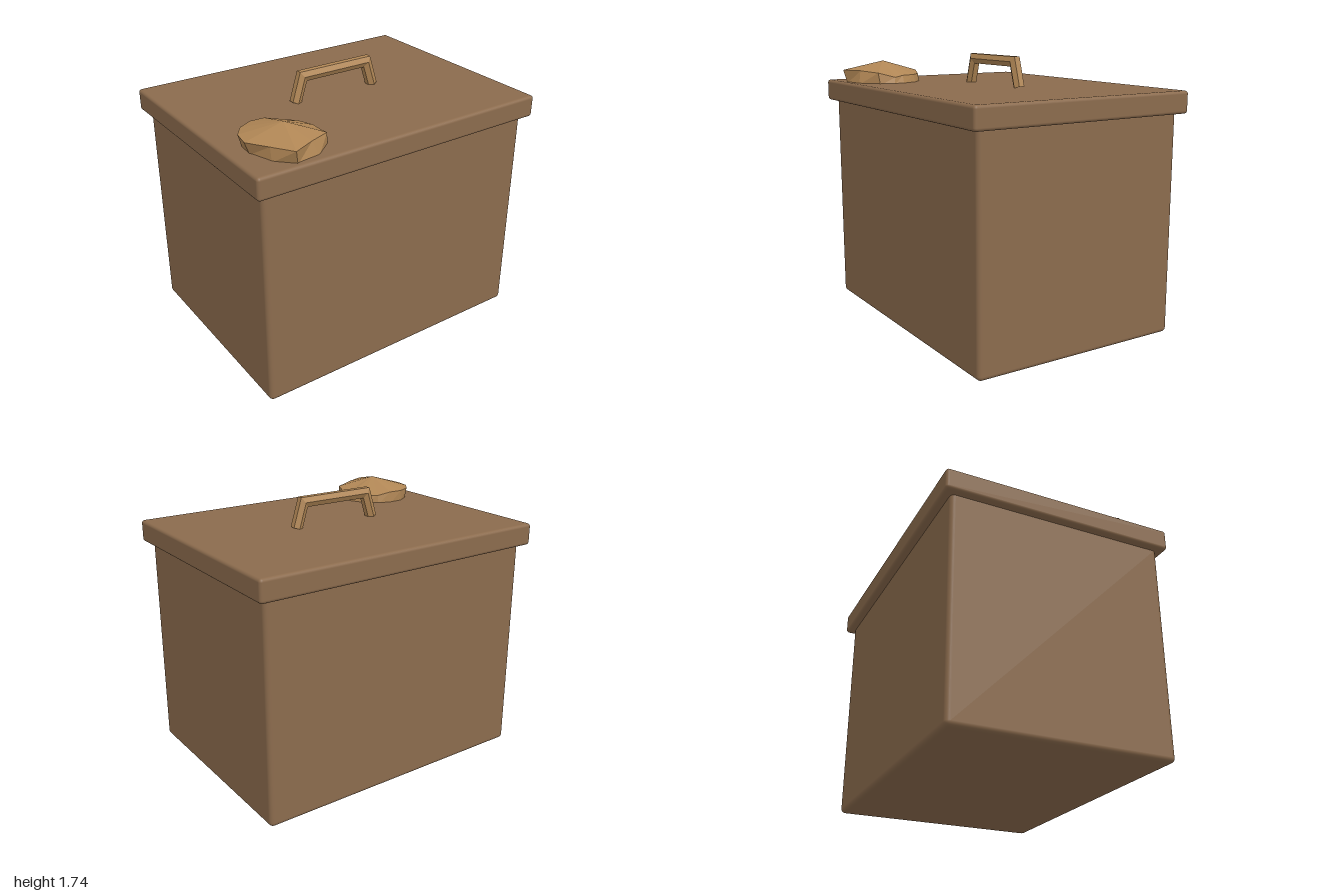
import * as THREE from 'three';
import { RoundedBoxGeometry } from 'three/addons/geometries/RoundedBoxGeometry.js';

// Faceted geometry from a list of triangles, each made of three [x, y, z] points
function facets(triangles) {
  const g = new THREE.BufferGeometry();
  g.setAttribute('position', new THREE.Float32BufferAttribute(triangles.flat(2), 3));
  g.computeVertexNormals();
  return g;
}

// Skin between two rings of equal length
function skin(a, b) {
  return a.flatMap((p, i) => {
    const j = (i + 1) % a.length;
    return [[p, a[j], b[j]], [p, b[j], b[i]]];
  });
}

// Closing fan of a ring around a point
const fan = (ring, c) => ring.map((p, i) => [c, ring[(i + 1) % ring.length], p]);

// Six-sided bar following a mitred trapezoid path
function handleGeometry() {
  const section = [[0.032, 0.019], [0, 0.037], [-0.032, 0.019], [-0.032, -0.019], [0, -0.037], [0.032, -0.019]];
  // path point x, y and its outward mitre direction
  const path = [
    [-0.29, 1.55, -0.957, 0.29], [-0.24, 1.711, -0.742, 1],
    [0.24, 1.711, 0.742, 1], [0.29, 1.55, 0.957, 0.29],
  ];
  const rings = path.map(([x, y, mx, my]) => section.map(([h, z]) => [x + mx * h, y + my * h, z]));
  const triangles = [];
  for (let i = 0; i < 3; i++) triangles.push(...skin(rings[i + 1], rings[i]));
  triangles.push(...fan(rings[3], [0.29, 1.55, 0]).map(t => t.slice().reverse()));
  triangles.push(...fan(rings[0], [-0.29, 1.55, 0]));
  return facets(triangles.map(t => t.slice().reverse()));
}

// Low faceted stone: peak, uneven rim and a base sunk into the lid
function stoneGeometry() {
  // rim x, y, z then base x, z
  const outline = [
    [-0.91, 1.62, 0.47, -0.88, 0.47], [-0.89, 1.62, 0.36, -0.87, 0.37],
    [-0.83, 1.62, 0.28, -0.82, 0.29], [-0.74, 1.62, 0.235, -0.74, 0.24],
    [-0.65, 1.62, 0.24, -0.65, 0.235], [-0.56, 1.6, 0.27, -0.56, 0.26],
    [-0.49, 1.6, 0.34, -0.48, 0.33], [-0.45, 1.6, 0.44, -0.43, 0.44],
    [-0.44, 1.59, 0.5, -0.43, 0.51], [-0.47, 1.62, 0.61, -0.46, 0.6],
    [-0.61, 1.63, 0.675, -0.58, 0.7], [-0.75, 1.63, 0.74, -0.73, 0.72],
    [-0.83, 1.625, 0.605, -0.83, 0.62],
  ];
  const rim = outline.map(p => p.slice(0, 3));
  const base = outline.map(p => [p[3], 1.54, p[4]]);
  return facets([...fan(rim, [-0.67, 1.69, 0.48]), ...skin(rim, base)]);
}

export function createModel() {
  const wood = new THREE.MeshStandardMaterial({ color: 0x8b6b4d });
  wood.name = 'brown';
  const light = new THREE.MeshStandardMaterial({ color: 0xb08655 });
  light.name = 'light brown';

  const model = new THREE.Group();
  model.name = 'liddedBox';
  const add = (name, geometry, material, y = 0) => {
    const mesh = new THREE.Mesh(geometry, material);
    mesh.name = name;
    mesh.position.y = y;
    model.add(mesh);
  };

  add('body', new RoundedBoxGeometry(1.9, 1.43, 1.42, 3, 0.03), wood, 0.715);
  add('lid', new RoundedBoxGeometry(2, 0.14, 1.52, 3, 0.02), wood, 1.48);
  add('handle', handleGeometry(), light);
  add('stone', stoneGeometry(), light);
  return model;
}
